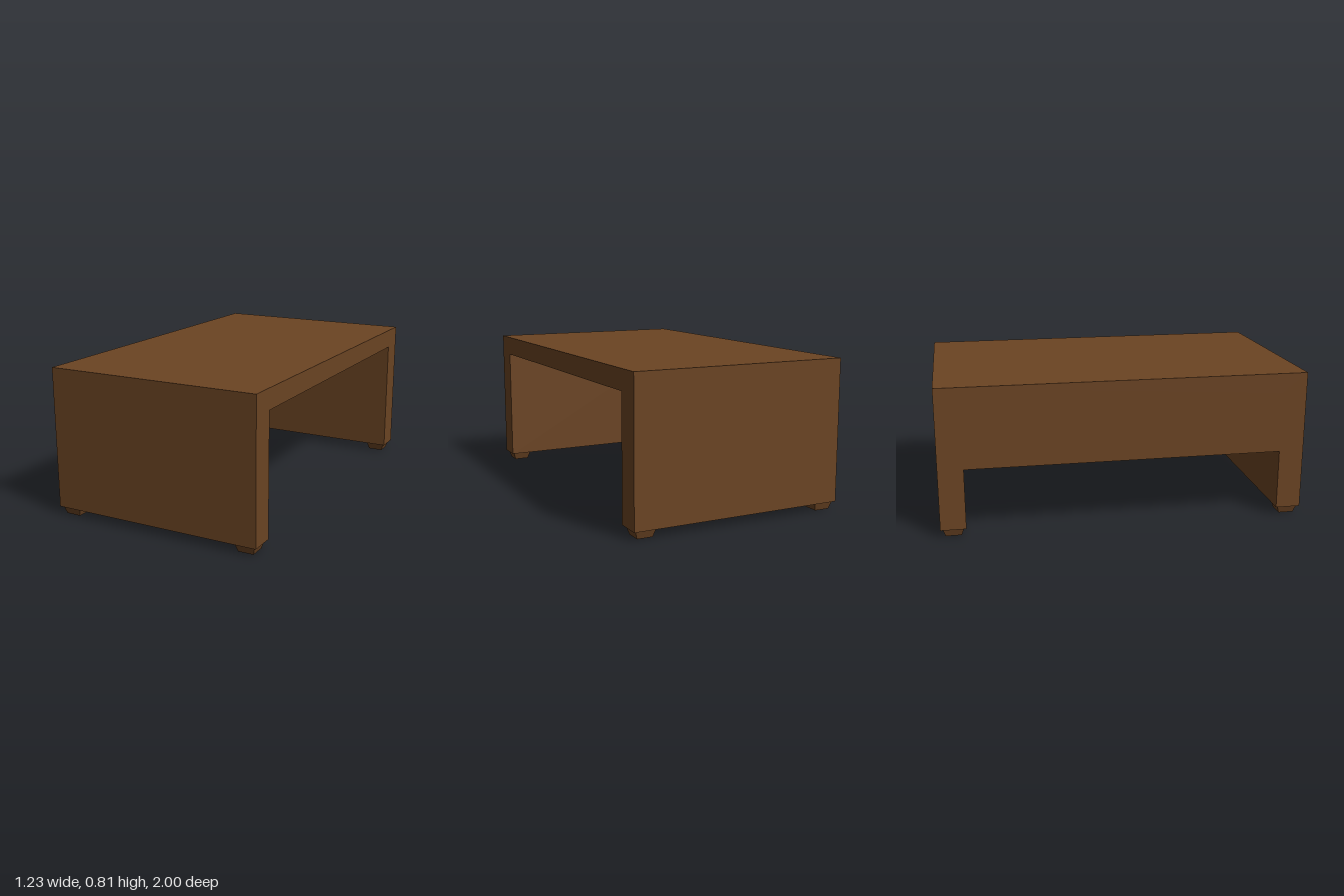
import * as THREE from 'three';

const W = 1.178, L = 1.968;            // width (x) and length (z)
const BASE = 0.043, TOP = 0.805;       // underside of the end panels, table top
const END = 0.135, SLAB = 0.108;       // end panel and top thickness
const FOOT_TOP = 0.11, FOOT_BOTTOM = 0.083;

export function createModel() {
  const wood = new THREE.MeshStandardMaterial({ color: 0x6b4423 });
  wood.name = 'brown wood';

  const desk = new THREE.Group();
  desk.name = 'desk';
  const add = (name, geometry, x, y, z) => {
    const mesh = new THREE.Mesh(geometry, wood);
    mesh.name = name;
    mesh.position.set(x, y, z);
    desk.add(mesh);
  };

  // Top and both end panels: one arch profile run across the width
  const h = L / 2, inner = h - END, under = TOP - SLAB;
  const arch = new THREE.Shape([
    [-h, BASE], [-inner, BASE], [-inner, under], [inner, under],
    [inner, BASE], [h, BASE], [h, TOP], [-h, TOP],
  ].map(([x, y]) => new THREE.Vector2(x, y)));
  const archGeometry = new THREE.ExtrudeGeometry(arch, { depth: W, bevelEnabled: false });
  archGeometry.translate(0, 0, -W / 2).rotateY(Math.PI / 2);
  add('topAndEndPanels', archGeometry, 0, 0, 0);

  // Modesty panel, flush with the closed long side
  const panelBottom = 0.37;
  add('modestyPanel', new THREE.BoxGeometry(END, under - panelBottom, inner * 2),
    -W / 2 + END / 2, (under + panelBottom) / 2, 0);

  // Tapered square feet at the four corners
  const foot = new THREE.CylinderGeometry(FOOT_TOP / Math.SQRT2, FOOT_BOTTOM / Math.SQRT2, BASE, 4)
    .rotateY(Math.PI / 4).toNonIndexed();
  foot.computeVertexNormals();
  for (const sx of [-1, 1]) {
    for (const sz of [-1, 1]) {
      add('foot', foot, sx * (W / 2 - END / 2), BASE / 2, sz * (h - END / 2));
    }
  }

  // The whole desk stands turned slightly about the vertical
  desk.rotation.y = -0.0275;
  const model = new THREE.Group();
  model.name = 'model';
  model.add(desk);
  return model;
}
